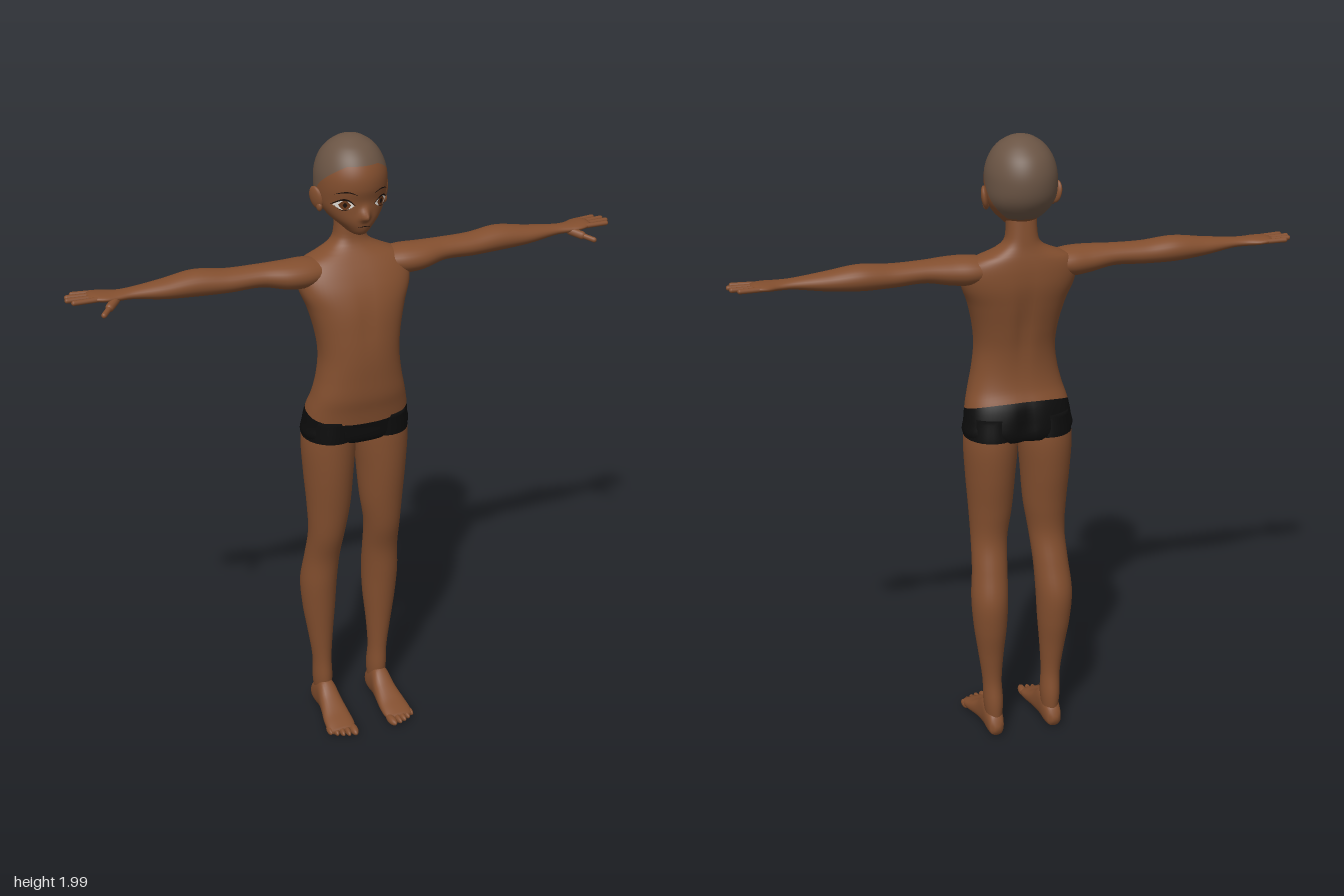
import * as THREE from 'three';

const mat = (name, color) => {
  const m = new THREE.MeshStandardMaterial({ color });
  m.name = name;
  return m;
};

// Smooth interpolation of a table whose first column is the key
function sample(table, k) {
  const last = table.length - 1;
  k = Math.min(Math.max(k, table[0][0]), table[last][0]);
  let i = 0;
  while (i < last - 1 && k > table[i + 1][0]) i++;
  const a = table[i], b = table[i + 1];
  const p = table[Math.max(i - 1, 0)], q = table[Math.min(i + 2, last)];
  const h = b[0] - a[0], t = (k - a[0]) / h, t2 = t * t, t3 = t2 * t;
  return a.slice(1).map((v, j) => {
    const w = b[j + 1];
    const ma = (w - p[j + 1]) / (b[0] - p[0]) * h, mb = (q[j + 1] - v) / (q[0] - a[0]) * h;
    return (2 * t3 - 3 * t2 + 1) * v + (t3 - 2 * t2 + t) * ma + (3 * t2 - 2 * t3) * w + (t3 - t2) * mb;
  });
}

const bend = (v, p) => Math.sign(v) * Math.abs(v) ** p;

// Point on a rounded section; a row holds [key, aMin, aMax, bMin, bMax]
function section(table, k, th, p = 1) {
  const [a0, a1, b0, b1] = sample(table, k);
  return [(a0 + a1) / 2 + (a1 - a0) / 2 * bend(Math.cos(th), p), (b0 + b1) / 2 + (b1 - b0) / 2 * bend(Math.sin(th), p)];
}

// Closed skin over rings; splits are row numbers where the next material begins
function surface(name, rows, cols, point, mats, splits = [], flip = false) {
  const pos = [], idx = [];
  for (let r = 0; r <= rows; r++)
    for (let c = 0; c < cols; c++) pos.push(...point(r, c / cols * Math.PI * 2));
  for (let r = 0; r < rows; r++)
    for (let c = 0; c < cols; c++) {
      const d = (c + 1) % cols;
      const a = r * cols + c, b = r * cols + d, e = a + cols, f = b + cols;
      idx.push(...(flip ? [a, b, e, b, f, e] : [a, e, b, b, e, f]));
    }
  const g = new THREE.BufferGeometry();
  g.setAttribute('position', new THREE.Float32BufferAttribute(pos, 3));
  g.setIndex(idx);
  const cuts = [0, ...splits, rows];
  mats.forEach((_, i) => g.addGroup(cuts[i] * cols * 6, (cuts[i + 1] - cuts[i]) * cols * 6, i));
  g.computeVertexNormals();
  const mesh = new THREE.Mesh(g, mats.length > 1 ? mats : mats[0]);
  mesh.name = name;
  return mesh;
}

// Limb along one axis, capped at both ends, mirrored in x by s
const axes = { x: (k, a, b) => [k, b, a], y: (k, a, b) => [a, k, b], z: (k, a, b) => [b, a, k] };
function limb(name, table, axis, s, mats, { rows = 48, cols = 28, p = 1, hem } = {}) {
  const lo = table[0][0], hi = table[table.length - 1][0];
  const cut = hem ? rows - 6 : rows;
  return surface(name, rows + 2, cols, (r, th) => {
    const i = Math.min(Math.max(r - 1, 0), rows);
    const k = !hem ? lo + (hi - lo) * i / rows
      : i <= cut ? lo + (hem - lo) * i / cut : hem + (hi - hem) * (i - cut) / (rows - cut);
    let [a, b] = section(table, k, th, p);
    if (r === 0 || r === rows + 2) {
      const [a0, a1, b0, b1] = sample(table, k);
      a = (a0 + a1) / 2; b = (b0 + b1) / 2;
    }
    const v = axes[axis](k, a, b);
    return [v[0] * s, v[1], v[2]];
  }, mats, hem ? [cut + 1] : [], s < 0);
}

const HEAD = [
  [1.708, -.008, .008, .01, .03], [1.715, -.026, .026, -.03, .045], [1.735, -.048, .048, -.075, .058],
  [1.76, -.075, .075, -.115, .064], [1.79, -.096, .096, -.145, .064], [1.82, -.106, .106, -.163, .065],
  [1.86, -.109, .109, -.171, .075], [1.9, -.106, .106, -.168, .073], [1.94, -.092, .092, -.151, .055],
  [1.97, -.07, .07, -.122, .028], [1.988, -.045, .045, -.094, -.002], [1.996, -.026, .026, -.074, -.022],
  [2, -.001, .001, -.049, -.047]];
const TORSO = [
  [1.03, -.04, .04, -.06, .03], [1.038, -.13, .13, -.1, .065], [1.055, -.174, .174, -.115, .08],
  [1.1, -.172, .172, -.114, .085], [1.15, -.164, .164, -.103, .093], [1.2, -.15, .15, -.083, .104],
  [1.26, -.136, .136, -.075, .108], [1.33, -.128, .128, -.078, .11], [1.4, -.135, .135, -.09, .106],
  [1.48, -.155, .155, -.106, .095], [1.54, -.178, .178, -.115, .076], [1.59, -.18, .18, -.115, .05],
  [1.625, -.155, .155, -.111, .026], [1.645, -.105, .105, -.107, .01], [1.665, -.067, .067, -.103, -.004],
  [1.69, -.05, .05, -.1, -.011], [1.78, -.046, .046, -.09, -.01]];
const LEG = [
  [.04, .075, .12, -.1, -.03], [.12, .067, .13, -.105, -.018], [.2, .07, .132, -.096, -.02],
  [.3, .064, .146, -.107, -.014], [.4, .055, .161, -.125, -.005], [.5, .05, .168, -.131, .005],
  [.6, .046, .16, -.106, .016], [.7, .038, .156, -.082, .044], [.8, .022, .161, -.09, .06],
  [.92, .012, .17, -.107, .074], [1.03, .004, .175, -.115, .08], [1.12, .01, .165, -.105, .08]];
// Arm and palm: [x, zMin, zMax, yMin, yMax]
const ARM = [
  [.1, -.09, .02, 1.56, 1.63], [.16, -.095, .035, 1.548, 1.638], [.22, -.088, .035, 1.552, 1.638],
  [.3, -.081, .015, 1.568, 1.636], [.4, -.085, .01, 1.565, 1.636], [.5, -.094, .005, 1.566, 1.645],
  [.6, -.082, 0, 1.574, 1.632], [.7, -.068, -.012, 1.589, 1.621], [.745, -.072, -.008, 1.591, 1.619],
  [.78, -.088, -.004, 1.594, 1.62], [.81, -.088, -.012, 1.598, 1.62], [.825, -.078, -.022, 1.602, 1.616]];
// Foot: [z, yMin, yMax, xMin, xMax]
const FOOT = [
  [-.115, .028, .05, .09, .11], [-.108, .014, .07, .078, .122], [-.08, .006, .1, .07, .128],
  [-.03, .008, .125, .066, .131], [.02, .012, .088, .06, .138], [.07, .01, .058, .055, .148],
  [.11, .008, .042, .055, .151], [.135, .012, .032, .062, .145]];

// Head surface with a small pointed nose
const nose = (x, y) => .027 * Math.exp(-((x / .013) ** 2) - ((y - 1.775) / (y > 1.775 ? .022 : .011)) ** 2);
function faceZ(x, y) {
  const [, w, b, f] = sample(HEAD, y);
  return (b + f) / 2 + (f - b) / 2 * Math.sqrt(Math.max(0, 1 - (x / w) ** 2)) + nose(x, y);
}

// Thin painted patch that follows the face, bounded by upper and lower curves
function patch(name, x0, x1, low, high, lift, material) {
  const g = new THREE.PlaneGeometry(1, 1, 14, 4), P = g.attributes.position;
  for (let i = 0; i < P.count; i++) {
    const t = P.getX(i) + .5, x = x0 + (x1 - x0) * t;
    const y = low(t) + (high(t) - low(t)) * (P.getY(i) + .5);
    P.setXYZ(i, x, y, faceZ(x, y) + lift);
  }
  g.computeVertexNormals();
  const m = new THREE.Mesh(g, material);
  m.name = name;
  return m;
}

export function createModel() {
  const skin = mat('skin', 0x824e2e), hair = mat('croppedHair', 0x6a5444), cloth = mat('trunksBlack', 0x0c0c0c);
  const white = mat('eyeWhite', 0xe8e4de), iris = mat('irisBrown', 0x6b3a1c), dark = mat('lashDark', 0x1c100a);
  const model = new THREE.Group();
  model.name = 'figure';

  // Head: face below the hairline, cropped hair above it
  const hairline = th => {
    const s = Math.sin(th);
    return s > 0 ? 1.845 + .085 * Math.min(1, s * 1.15) ** .8 : 1.845 - .09 * Math.min(1, -s * 1.5);
  };
  model.add(surface('head', 64, 80, (r, th) => {
    const h = hairline(th);
    const y = r <= 36 ? 1.708 + (h - 1.708) * r / 36 : h + (2 - h) * Math.sin((r - 36) / 28 * Math.PI / 2);
    const [x, z] = section(HEAD, y, th);
    return [x, y, z + (Math.sin(th) > 0 ? nose(x, y) : 0)];
  }, [skin, hair], [36]));

  // Torso and neck, with trunks below a sloping waistline
  model.add(surface('torsoAndTrunks', 70, 56, (r, th) => {
    const s = Math.sin(th), waist = 1.14 - .03 * s;
    const y = r === 0 ? 1.03 : r <= 12 ? 1.03 + (waist - 1.03) * (r - 1) / 11 : waist + (1.78 - waist) * (r - 12) / 58;
    let [x, z] = section(TORSO, y, th, .85);
    if (r === 0) return [0, y, -.015];
    // Grooves along the seat, spine and chest
    const mid = Math.exp(-((x / .022) ** 2));
    if (s < 0) z += mid * (.018 * Math.exp(-(((y - 1.08) / .06) ** 2)) + .01 * Math.exp(-(((y - 1.42) / .12) ** 2)));
    else z -= mid * .004 * Math.exp(-(((y - 1.46) / .08) ** 2));
    return [x, y, z];
  }, [cloth, skin], [12]));

  for (const s of [1, -1]) {
    const side = s > 0 ? 'left' : 'right';
    model.add(limb(side + 'Leg', LEG, 'y', s, [skin, cloth], { rows: 60, hem: 1.05 }));
    model.add(limb(side + 'Arm', ARM, 'x', s, [skin], { rows: 64 }));
    model.add(limb(side + 'Foot', FOOT, 'z', s, [skin], { rows: 32, p: .85 }));

    // Rounded rod or ball helper for digits and ears
    const ball = (name, p, scale, rot = [0, 0, 0]) => {
      const m = new THREE.Mesh(new THREE.SphereGeometry(1, 18, 12), skin);
      m.name = name;
      m.position.set(p[0] * s, p[1], p[2]);
      m.scale.set(...scale);
      m.rotation.set(rot[0], rot[1] * s, rot[2] * s);
      model.add(m);
    };
    const digit = (name, a, b, radius) => {
      const A = new THREE.Vector3(a[0] * s, a[1], a[2]), B = new THREE.Vector3(b[0] * s, b[1], b[2]);
      const d = B.clone().sub(A), len = d.length();
      const m = new THREE.Mesh(new THREE.CapsuleGeometry(radius, len - radius, 5, 12), skin);
      m.name = name;
      m.position.copy(A).add(B).multiplyScalar(.5);
      m.quaternion.setFromUnitVectors(new THREE.Vector3(0, 1, 0), d.normalize());
      model.add(m);
    };

    // Fingers and thumb
    [[-.079, -.086, .866], [-.06, -.065, .886], [-.04, -.041, .891], [-.02, -.015, .878]].forEach(([z0, z1, tip], i) =>
      digit(side + 'Finger' + (i + 1), [.79, 1.608, z0], [tip, 1.61, z1], .0078));
    digit(side + 'ThumbBase', [.745, 1.6, -.025], [.78, 1.588, .012], .013);
    digit(side + 'ThumbTip', [.775, 1.59, .008], [.805, 1.58, .042], .0085);

    // Toes, longest on the inside
    for (let i = 0; i < 5; i++)
      ball(side + 'Toe' + (i + 1), [.069 + i * .018 + (i ? .004 : 0), .02, .138 - i * i * .0016],
        [i ? .0095 : .0135, i ? .012 : .014, .032 - i * .002], [0, .08, 0]);

    // Ear
    ball(side + 'Ear', [.111, 1.817, -.045], [.011, .036, .027], [-.2, -.35, -.2]);
    ball(side + 'EarLobe', [.105, 1.792, -.035], [.009, .016, .014]);

    // Eye: white, iris, pupil, lashes and brow
    const arc = (y, h) => t => y + h * Math.sin(Math.PI * t);
    const paint = (name, x0, x1, low, high, lift, m) => model.add(s > 0
      ? patch(side + name, x0, x1, low, high, lift, m)
      : patch(side + name, -x1, -x0, t => low(1 - t), t => high(1 - t), lift, m));
    paint('EyeWhite', .032, .086, arc(1.812, -.014), arc(1.812, .018), .002, white);
    paint('Iris', .042, .074, arc(1.814, -.016), arc(1.814, .015), .0035, iris);
    paint('Pupil', .052, .064, arc(1.814, -.008), arc(1.814, .008), .0045, dark);
    paint('UpperLash', .03, .09, arc(1.812, .017), arc(1.814, .021), .005, dark);
    paint('LowerLash', .04, .082, arc(1.81, -.014), arc(1.81, -.012), .004, dark);
    paint('Brow', .026, .084, arc(1.846, .008), arc(1.847, .011), .003, dark);
  }

  // Mouth line
  model.add(patch('mouth', -.02, .02, t => 1.742 + .002 * Math.sin(Math.PI * t), t => 1.743 + .004 * Math.sin(Math.PI * t), .003, dark));
  return model;
}
